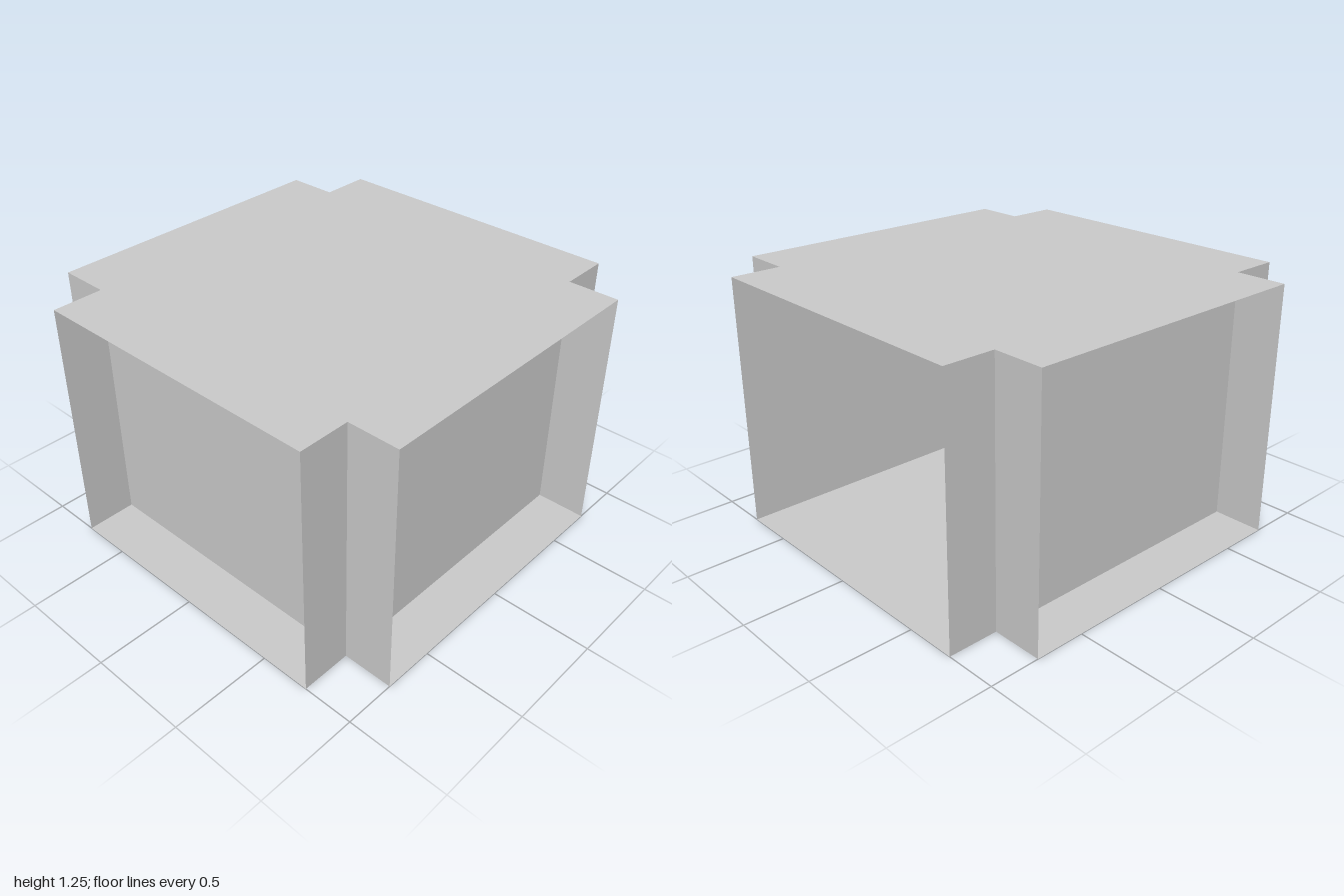
import * as THREE from 'three';

const HEIGHT = 1.25; // overall height
const R = 1;         // outer reach of the cross
const N = 0.75;      // wall planes and corner notches

export function createModel() {
  const group = new THREE.Group();
  const material = new THREE.MeshStandardMaterial({
    color: 0xcccccc, flatShading: true, side: THREE.DoubleSide,
  });

  function add(name, geometry) {
    const mesh = new THREE.Mesh(geometry, material);
    mesh.name = name;
    group.add(mesh);
    return mesh;
  }

  // Thin cross-shaped floor and roof sheets
  const cross = new THREE.Shape([
    [N, R], [-N, R], [-N, N], [-R, N], [-R, -N], [-N, -N],
    [-N, -R], [N, -R], [N, -N], [R, -N], [R, N], [N, N],
  ].map(([x, y]) => new THREE.Vector2(x, y)));
  for (const [name, y] of [['floor', 0], ['roof', HEIGHT]]) {
    const sheet = add(name, new THREE.ShapeGeometry(cross).rotateX(-Math.PI / 2));
    sheet.position.y = y;
  }

  // Full-width front and back walls, set in from the roof edge
  for (const [name, s] of [['frontWall', 1], ['backWall', -1]]) {
    const wall = add(name, new THREE.PlaneGeometry(2 * R, HEIGHT));
    wall.position.set(0, HEIGHT / 2, s * N);
    if (s < 0) wall.rotation.y = Math.PI;
  }

  // Full-depth wall on the closed side
  const closed = add('rightWall', new THREE.PlaneGeometry(2 * R, HEIGHT));
  closed.rotation.y = -Math.PI / 2;
  closed.position.set(-N, HEIGHT / 2, 0);

  // Short corner fins flanking the open side
  for (const [name, s] of [['frontLeftFin', 1], ['backLeftFin', -1]]) {
    const fin = add(name, new THREE.PlaneGeometry(R - N, HEIGHT));
    fin.rotation.y = Math.PI / 2;
    fin.position.set(N, HEIGHT / 2, s * (R + N) / 2);
  }

  return group;
}
